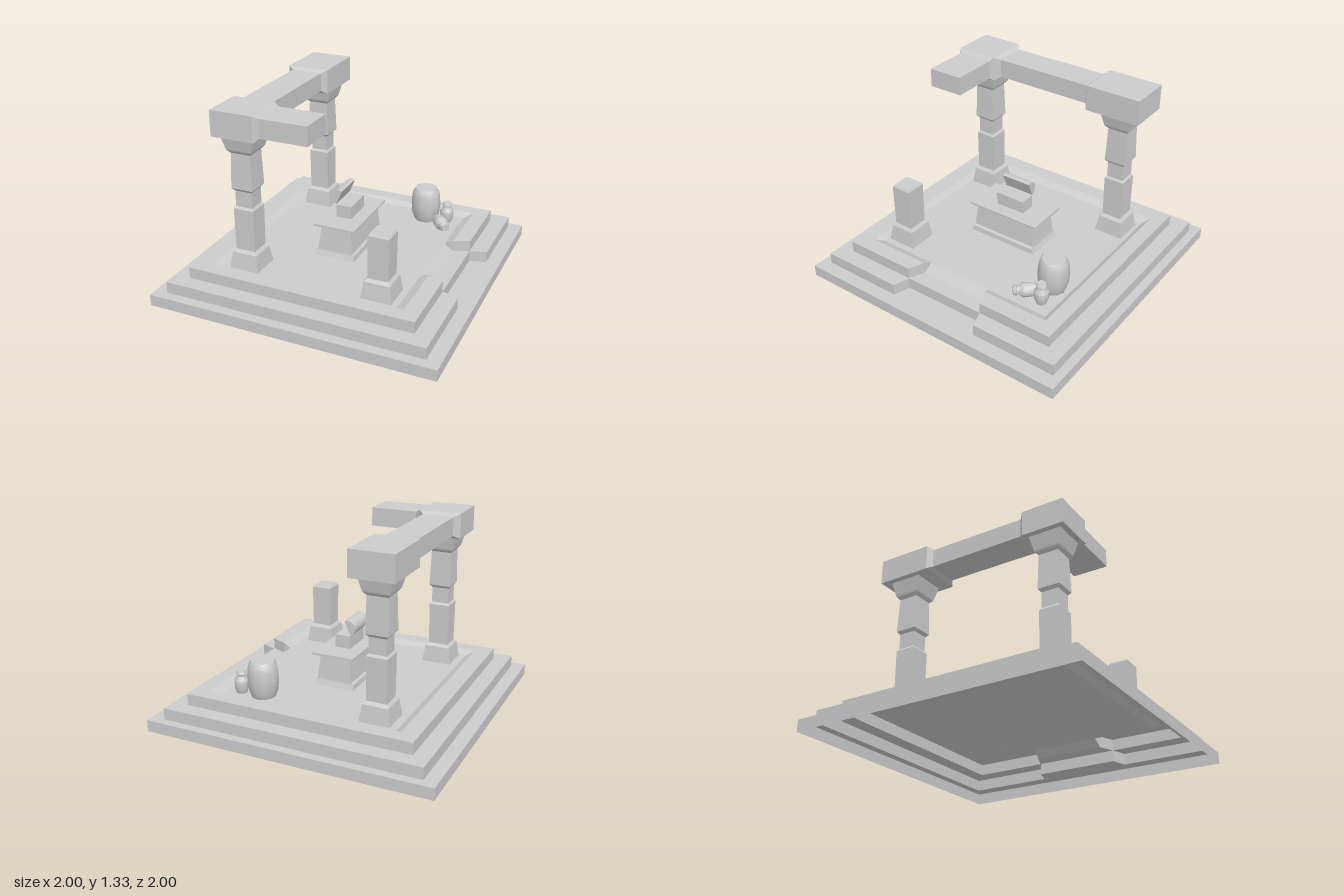
import * as THREE from 'three';
import { toCreasedNormals } from 'three/addons/utils/BufferGeometryUtils.js';

const flat = new THREE.MeshStandardMaterial({ color: 0xcccccc, flatShading: true, side: THREE.DoubleSide });
const smooth = new THREE.MeshStandardMaterial({ color: 0xcccccc, side: THREE.DoubleSide });
const FLOOR = 0.21;

function add(parent, name, geometry, material = flat) {
  const mesh = new THREE.Mesh(geometry, material);
  mesh.name = name;
  parent.add(mesh);
  return mesh;
}

// Rectangular ring of points whose +x side carries a mirrored notch of three points [x, z, y]
function ring(x0, x1, z0, z1, y, notch) {
  const near = notch.map(([x, z, h = y]) => [x, h, z]);
  const far = near.map(([x, h, z]) => [x, h, -z]).reverse();
  return [[x1, y, z1], ...near, ...far, [x1, y, z0], [x0, y, z0], [x0, y, z1]];
}

// Skin between successive rings, closed by a flat last ring if asked
function skin(rings) {
  const pos = [];
  const tri = (...corners) => {
    const [a, b, c] = corners.map((p) => new THREE.Vector3(...p));
    if (new THREE.Triangle(a, b, c).getArea() > 1e-7) pos.push(...corners.flat());
  };
  for (let r = 0; r < rings.length - 1; r++) {
    const a = rings[r], b = rings[r + 1];
    for (let i = 0; i < a.length; i++) {
      const j = (i + 1) % a.length;
      tri(a[i], a[j], b[j]);
      tri(a[i], b[j], b[i]);
    }
  }
  const last = rings[rings.length - 1];
  for (let i = 1; i < last.length - 1; i++) tri(last[0], last[i], last[i + 1]);
  const g = new THREE.BufferGeometry();
  g.setAttribute('position', new THREE.Float32BufferAttribute(pos, 3));
  g.computeVertexNormals();
  return g;
}

// Box between two corners
function box(min, max) {
  const s = max.map((v, i) => v - min[i]);
  return new THREE.BoxGeometry(...s).translate(...max.map((v, i) => (v + min[i]) / 2));
}

// Stack of rectangles [halfX, halfZ, y] with closed ends
function stack(sections) {
  return skin([[0, 0, sections[0][2]], ...sections, [0, 0, sections.at(-1)[2]]].map(([x, z, y]) =>
    [[x, y, z], [x, y, -z], [-x, y, -z], [-x, y, z]]));
}

// Short bevel joining two rectangles given as [[x,y,z] x 4]
function bevel(a, b) {
  return skin([a, b]);
}

function column(parent, name, profile, x, z) {
  const mesh = add(parent, name, stack(profile.map(([r, y]) => [r, r, y])));
  mesh.position.set(x, 0, z);
}

function jar(parent, name, profile, sides) {
  const pts = [[0, profile[0][1]], ...profile, [0, profile.at(-1)[1]]];
  const g = new THREE.LatheGeometry(pts.map((p) => new THREE.Vector2(...p)), sides);
  return add(parent, name, toCreasedNormals(g, 0.8), smooth);
}

export function createModel() {
  const root = new THREE.Group();
  root.name = 'ruinedShrine';

  // Hollow stepped platform with a stair notch on the +x side and a sunken floor
  const n1 = [[1, 0.335], [1, 0.32], [1, 0.3]];
  const n2 = [[0.905, 0.335], [0.79, 0.3], [0.79, 0.3]];
  const n3 = [[0.79, 0.3], [0.68, 0.255], [0.68, 0.255]];
  const mouth = [0.62, 0.245, FLOOR];
  const n4 = [[0.79, 0.3], [0.68, 0.255], mouth];
  const n5 = [[0.68, 0.255], [0.68, 0.255], mouth];
  const n6 = [mouth, mouth, mouth];
  add(root, 'steppedPlatform', skin([
    ring(-1, 1, -1, 1, 0, n1),
    ring(-1, 1, -1, 1, 0.08, n1),
    ring(-0.91, 0.905, -0.94, 0.93, 0.08, n2),
    ring(-0.91, 0.905, -0.94, 0.93, 0.16, n2),
    ring(-0.8, 0.79, -0.83, 0.82, 0.16, n3),
    ring(-0.8, 0.79, -0.83, 0.82, 0.24, n4),
    ring(-0.685, 0.68, -0.73, 0.715, 0.24, n5),
    ring(-0.63, 0.62, -0.69, 0.675, FLOOR, n6),
  ]));

  // Square columns: two whole, one broken off
  const foot = [[0.105, FLOOR], [0.088, 0.325], [0.07, 0.345], [0.072, 0.64]];
  const whole = [...foot, [0.06, 0.655], [0.06, 0.765], [0.077, 0.785], [0.077, 0.795],
    [0.07, 1.03], [0.088, 1.05], [0.092, 1.06], [0.115, 1.155]];
  column(root, 'frontColumn', whole, -0.475, 0.555);
  column(root, 'backColumn', whole, -0.475, -0.555);
  column(root, 'brokenColumn', [...foot, [0.062, 0.655]], 0.47, 0.555);

  // Corner blocks, beam and broken arm
  const lintel = new THREE.Group();
  lintel.name = 'lintel';
  root.add(lintel);
  const lo = 1.155, hi = 1.33, bLo = 1.18, bHi = 1.31;
  add(lintel, 'frontBlock', box([-0.63, lo, 0.415], [-0.33, hi, 0.71]));
  add(lintel, 'backBlock', box([-0.63, lo, -0.735], [-0.33, hi, -0.345]));
  add(lintel, 'beam', box([-0.59, bLo, -0.345], [-0.37, bHi, 0.415]));
  add(lintel, 'brokenArm', box([-0.33, bLo, 0.43], [0.03, bHi, 0.68]));
  const across = (x0, x1, y0, y1, z) => [[x0, y0, z], [x1, y0, z], [x1, y1, z], [x0, y1, z]];
  const along = (z0, z1, y0, y1, x) => [[x, y0, z1], [x, y0, z0], [x, y1, z0], [x, y1, z1]];
  add(lintel, 'frontBevel', bevel(across(-0.63, -0.33, lo, hi, 0.415), across(-0.59, -0.37, bLo, bHi, 0.38)));
  add(lintel, 'backBevel', bevel(across(-0.63, -0.33, lo, hi, -0.345), across(-0.59, -0.37, bLo, bHi, -0.32)));
  add(lintel, 'armBevel', bevel(along(0.415, 0.71, lo, hi, -0.33), along(0.43, 0.68, bLo, bHi, -0.3)));

  // Altar table
  const altar = new THREE.Group();
  altar.name = 'altar';
  root.add(altar);
  add(altar, 'altarBody', stack([[0.145, 0.265, FLOOR], [0.14, 0.25, 0.245],
    [0.125, 0.248, 0.255], [0.108, 0.23, 0.43]]));
  add(altar, 'altarTop', box([-0.15, 0.43, -0.28], [0.15, 0.445, 0.27]));

  // Chest with its rounded lid swung open
  add(altar, 'chest', box([-0.055, 0.445, -0.115], [0.055, 0.535, 0.105]));
  const halfDisc = new THREE.Shape().absarc(0, 0, 0.055, 0, Math.PI, false);
  const lidGeometry = new THREE.ExtrudeGeometry(halfDisc, { depth: 0.22, bevelEnabled: false, curveSegments: 8 });
  const lid = add(altar, 'chestLid', toCreasedNormals(lidGeometry, 0.6), smooth);
  lid.position.set(-0.035, 0.59, -0.115);
  lid.rotation.z = Math.atan2(0.1, 0.043);

  // Jars
  const bigJar = jar(root, 'largeJar', [[0.08, 0], [0.1, 0.05], [0.106, 0.12], [0.102, 0.19],
    [0.095, 0.225], [0.08, 0.25]], 10);
  bigJar.position.set(0.36, FLOOR, -0.575);
  const small = [[0.035, 0], [0.046, 0.03], [0.05, 0.09], [0.03, 0.115], [0.03, 0.13],
    [0.037, 0.135], [0.028, 0.155]];
  jar(root, 'smallJar', small, 10).position.set(0.52, FLOOR, -0.59);
  const fallen = jar(root, 'fallenJar', small, 10);
  fallen.position.set(0.47, FLOOR + 0.04, -0.52);
  fallen.rotation.set(Math.PI / 2, 0.72, 0, 'YXZ');

  return root;
}
